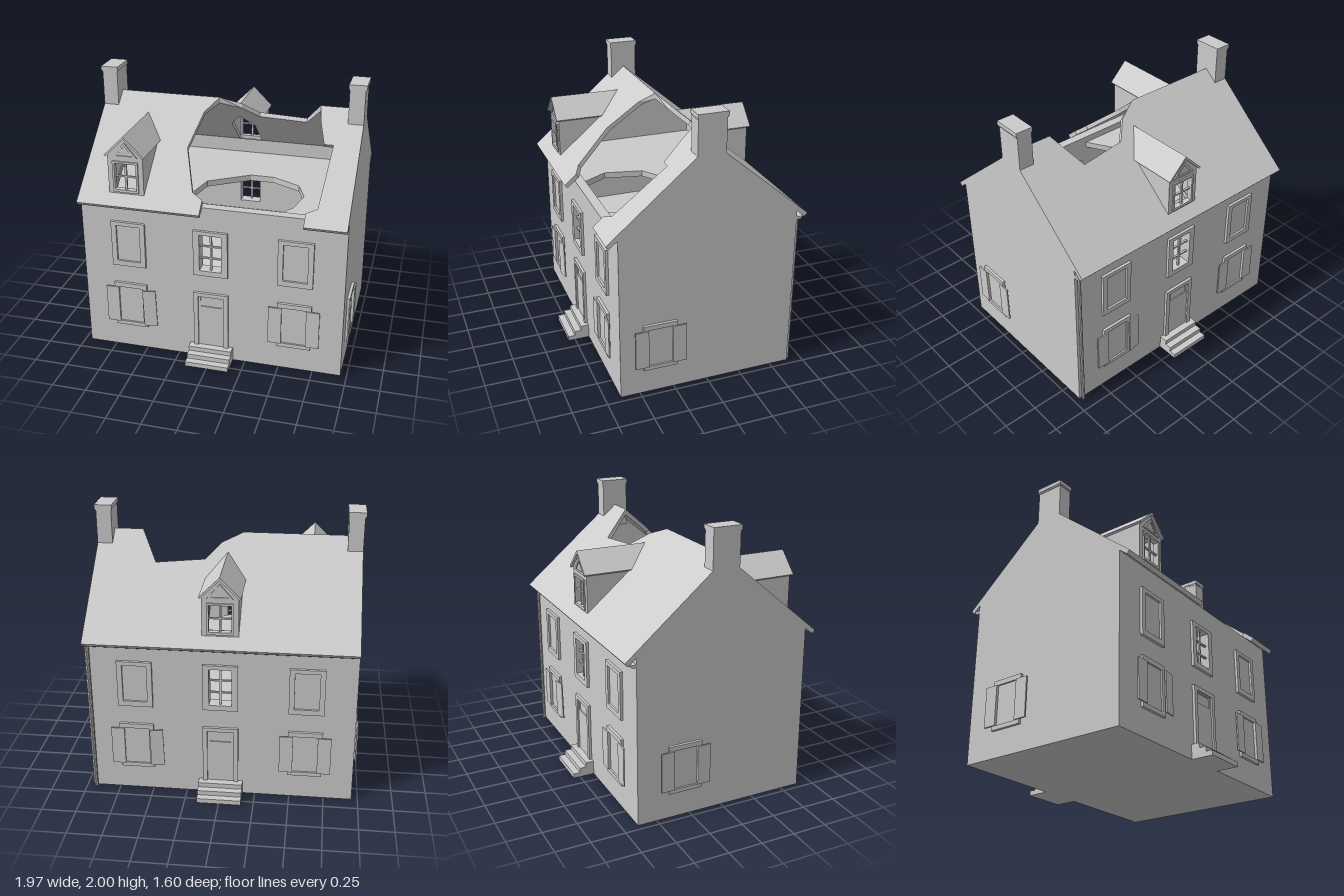
import * as THREE from 'three';

const mat = new THREE.MeshStandardMaterial({ color: 0xcccccc, flatShading: true, side: THREE.DoubleSide });
const RIDGE = 1.8, SLOPE = 0.847, EAVE = 0.72;
const V = (pts) => pts.map(([x, y]) => new THREE.Vector2(x, y));
const rect = (cx, y0, y1, hw) => [[cx - hw, y0], [cx + hw, y0], [cx + hw, y1], [cx - hw, y1]];

function add(parent, name, geo, x = 0, y = 0, z = 0) {
  const m = new THREE.Mesh(geo, mat);
  m.name = name;
  m.position.set(x, y, z);
  parent.add(m);
  return m;
}
function box(parent, name, w, h, d, x, y, z) {
  return add(parent, name, new THREE.BoxGeometry(w, h, d), x, y, z);
}
function plate(pts, depth, holes = []) {
  const s = new THREE.Shape(V(pts));
  s.holes = holes.map((h) => new THREE.Path(V(h)));
  return new THREE.ExtrudeGeometry(s, { depth, bevelEnabled: false });
}
// Moves every vertex by a rule
function bend(geo, rule) {
  const p = geo.attributes.position;
  for (let i = 0; i < p.count; i++) p.setXYZ(i, ...rule(p.getX(i), p.getY(i), p.getZ(i)));
  geo.computeVertexNormals();
  return geo;
}
function group(parent, name, x = 0, y = 0, z = 0, ry = 0) {
  const g = new THREE.Group();
  g.name = name;
  g.position.set(x, y, z);
  g.rotation.y = ry;
  parent.add(g);
  return g;
}

// Sloped roof slab from an outline of (x, distance from ridge)
function roofSlab(pts, holes) {
  const t = 0.033;
  return bend(plate(pts, t, holes), (x, d, h) => d < 0.001
    ? [x, RIDGE - h * 1.31, 0]
    : [x, RIDGE - SLOPE * d - h * 0.763, d - h * 0.646]);
}
const dormerHole = (cx) => [[cx - 0.09, 0.62], [cx + 0.09, 0.62], [cx + 0.09, 0.33], [cx, 0.21], [cx - 0.09, 0.33]];

// Glazing bars of an open window
function bars(parent, cx, y0, y1, hw, rows, z) {
  box(parent, 'windowMullion', 0.014, y1 - y0, 0.015, cx, (y0 + y1) / 2, z);
  for (let i = 1; i < rows; i++)
    box(parent, 'windowBar', hw * 2, 0.011, 0.015, cx, y0 + ((y1 - y0) * i) / rows, z);
}

function upperWindow(parent, cx, open) {
  const hw = open ? 0.08 : 0.087;
  add(parent, 'upperWindowFrame', plate(rect(cx, 0.69, 1.04, 0.125), 0.02, [rect(cx, 0.73, 1.01, hw)]));
  if (open) bars(parent, cx, 0.73, 1.01, hw, 3, -0.01);
  else box(parent, 'upperWindowPanel', hw * 2, 0.28, 0.015, cx, 0.87, -0.003);
}

function shutteredWindow(parent, cx, ajar = false) {
  add(parent, 'lowerWindowFrame', plate(rect(cx, 0.19, 0.545, 0.123), 0.02, [rect(cx, 0.22, 0.51, 0.09)]));
  box(parent, 'lowerWindowPanel', 0.18, 0.29, 0.01, cx, 0.365, 0.003);
  for (const s of [-1, 1]) {
    const shutter = box(parent, 'shutter', 0.096, 0.29, 0.01, cx + s * 0.136, 0.365, 0.024);
    if (ajar && s > 0) {
      shutter.rotation.set(0, 0.15, 0.025);
      shutter.position.x += 0.012;
      shutter.position.z += 0.006;
    }
  }
}

// Everything mounted on a long wall, wall plane at local z = 0
function facade(parent, name, z, ry) {
  const g = group(parent, name, 0, 0, z, ry);
  [-0.607, 0, 0.607].forEach((x) => upperWindow(g, x, x === 0));
  shutteredWindow(g, -0.607, true);
  shutteredWindow(g, 0.607);
  const frame = [[-0.128, 0.1], [-0.095, 0.1], [-0.095, 0.515], [0.095, 0.515], [0.095, 0.1], [0.128, 0.1], [0.128, 0.545], [-0.128, 0.545]];
  add(g, 'doorFrame', plate(frame, 0.02));
  add(g, 'door', plate(rect(0, 0.1, 0.515, 0.095), 0.008, [rect(0, 0.43, 0.505, 0.077)]));
  [0.16, 0.11, 0.06].forEach((d, i) => box(g, 'step', 0.32, 0.035, d, 0, 0.0175 + i * 0.035, d / 2));
}

function dormer(parent, cx, ry) {
  const g = group(parent, 'dormer', cx, 0, 0, ry);
  const onRoof = (y) => (RIDGE - y) / SLOPE;
  // Shell profiles are pushed back until they meet the main roof
  const shell = (pts, front) => bend(plate(pts, 1), (x, y, z) => [x, y, z > 0.5 ? front : Math.min(front, onRoof(y))]);
  add(g, 'dormerWalls', shell([[-0.128, 1.257], [-0.128, 1.54], [0, 1.668], [0.128, 1.54], [0.128, 1.257],
    [0.093, 1.257], [0.093, 1.53], [0, 1.623], [-0.093, 1.53], [-0.093, 1.257]], 0.64));
  add(g, 'dormerRoof', shell([[-0.145, 1.545], [0, 1.69], [0.145, 1.545], [0.134, 1.534], [0, 1.668], [-0.134, 1.534]], 0.66));
  const front = [[-0.128, 1.257], [0.128, 1.257], [0.128, 1.54], [0, 1.668], [-0.128, 1.54]];
  add(g, 'dormerFront', plate(front, 0.03, [rect(0, 1.29, 1.485, 0.078)]), 0, 0, 0.61);
  add(g, 'dormerWindowFrame', plate(rect(0, 1.27, 1.5, 0.093), 0.01, [rect(0, 1.29, 1.485, 0.078)]), 0, 0, 0.64);
  add(g, 'dormerPediment', plate([[-0.093, 1.53], [0.093, 1.53], [0, 1.64]], 0.008,
    [[[-0.06, 1.543], [0.06, 1.543], [0, 1.615]]]), 0, 0, 0.64);
  bars(g, 0, 1.29, 1.485, 0.078, 2, 0.63);
}

export function createModel() {
  const house = new THREE.Group();
  house.name = 'house';

  // Walls
  const holes = [rect(-0.607, 0.73, 1.01, 0.087), rect(0, 0.73, 1.01, 0.08), rect(0.607, 0.73, 1.01, 0.087)];
  const longWall = () => plate(rect(0, 0, 1.215, 0.885), 0.07, holes);
  add(house, 'frontWall', longWall(), 0, 0, 0.57);
  const back = bend(longWall(), (x, y, z) => [x, y > 1.2 && z < 0.01 ? 1.274 : y, z]);
  add(house, 'backWall', back, 0, 0, -0.57).rotation.y = Math.PI;
  const gable = plate([[-0.64, 0], [0.64, 0], [0.64, 1.215], [0, 1.757], [-0.64, 1.215]], 0.07).rotateY(Math.PI / 2);
  for (const x of [-0.955, 0.885]) add(house, 'gableWall', gable, x);

  // Ground floor, sagging upper floor and attic floor with its broken hole
  box(house, 'groundFloor', 1.77, 0.02, 1.14, 0, 0.01, 0);
  const sag = new THREE.BufferGeometry();
  sag.setAttribute('position', new THREE.Float32BufferAttribute([
    -0.885, 0.66, -0.57, -0.885, 0.66, 0.36, 0.27, 0.66, 0.36, 0.885, 0.66, -0.01, 0.885, 0.66, -0.57,
    -0.885, 0.51, 0.57, 0.4, 0.51, 0.57, 0.885, 0.36, 0.57], 3));
  sag.setIndex([0, 1, 2, 0, 2, 3, 0, 3, 4, 1, 5, 6, 1, 6, 2, 2, 6, 7, 2, 7, 3]);
  const sagFlat = sag.toNonIndexed();
  sagFlat.computeVertexNormals();
  add(house, 'upperFloor', sagFlat);
  const attic = plate([[-0.885, -0.57], [0.885, -0.57], [0.885, 0.57], [0.4, 0.57], [0.53, 0.38], [0.57, 0.18], [0.5, 0],
    [0.29, -0.11], [0.11, -0.11], [-0.18, 0.08], [-0.24, 0.36], [-0.12, 0.57], [-0.885, 0.57]], 0.045);
  add(house, 'atticFloor', attic.rotateX(Math.PI / 2), 0, 1.165, 0);

  // Roof halves with the broken opening
  add(house, 'frontRoofLeftPart', roofSlab([[-0.955, 0], [-0.1, 0], [-0.19, 0.1], [-0.25, 0.33], [-0.14, 0.59],
    [-0.06, 0.63], [-0.06, EAVE], [-0.955, EAVE]], [dormerHole(-0.605)]));
  add(house, 'frontRoofRightPart', roofSlab([[0.955, 0], [0.635, 0], [0.66, 0.11], [0.705, 0.235], [0.77, 0.235],
    [0.735, 0.61], [0.66, 0.64], [0.66, EAVE], [0.955, EAVE]], []));
  add(house, 'backRoof', roofSlab([[-0.955, 0], [-0.635, 0], [-0.51, 0.21], [-0.16, 0.18], [-0.05, 0.07], [0.1, 0],
    [0.955, 0], [0.955, EAVE], [-0.955, EAVE]], [dormerHole(0)])).rotation.y = Math.PI;
  dormer(house, -0.605, 0);
  dormer(house, 0, Math.PI);

  // Chimneys
  for (const s of [-1, 1]) {
    box(house, 'chimney', 0.11, 0.34, 0.2, s * 0.9, 1.8, 0);
    box(house, 'chimneyCollar', 0.118, 0.012, 0.206, s * 0.902, 1.965, 0);
    box(house, 'chimneyCap', 0.126, 0.03, 0.212, s * 0.902, 1.985, 0);
  }

  // Windows, doors and steps
  facade(house, 'frontFacade', 0.64, 0);
  facade(house, 'backFacade', -0.64, Math.PI);
  shutteredWindow(group(house, 'rightSideWindow', 0.955, 0, 0, Math.PI / 2), -0.353);
  shutteredWindow(group(house, 'leftSideWindow', -0.955, 0, 0, -Math.PI / 2), -0.29);

  // Gutter and drainpipe at the back
  const gutter = plate([[0.64, 1.15], [0.67, 1.15], [0.69, 1.172], [0.64, 1.172]], 1.91).rotateY(Math.PI / 2);
  add(house, 'gutter', gutter, -0.955);
  add(house, 'drainpipe', new THREE.CylinderGeometry(0.012, 0.012, 1.16, 8), 0.93, 0.58, -0.655);
  return house;
}
